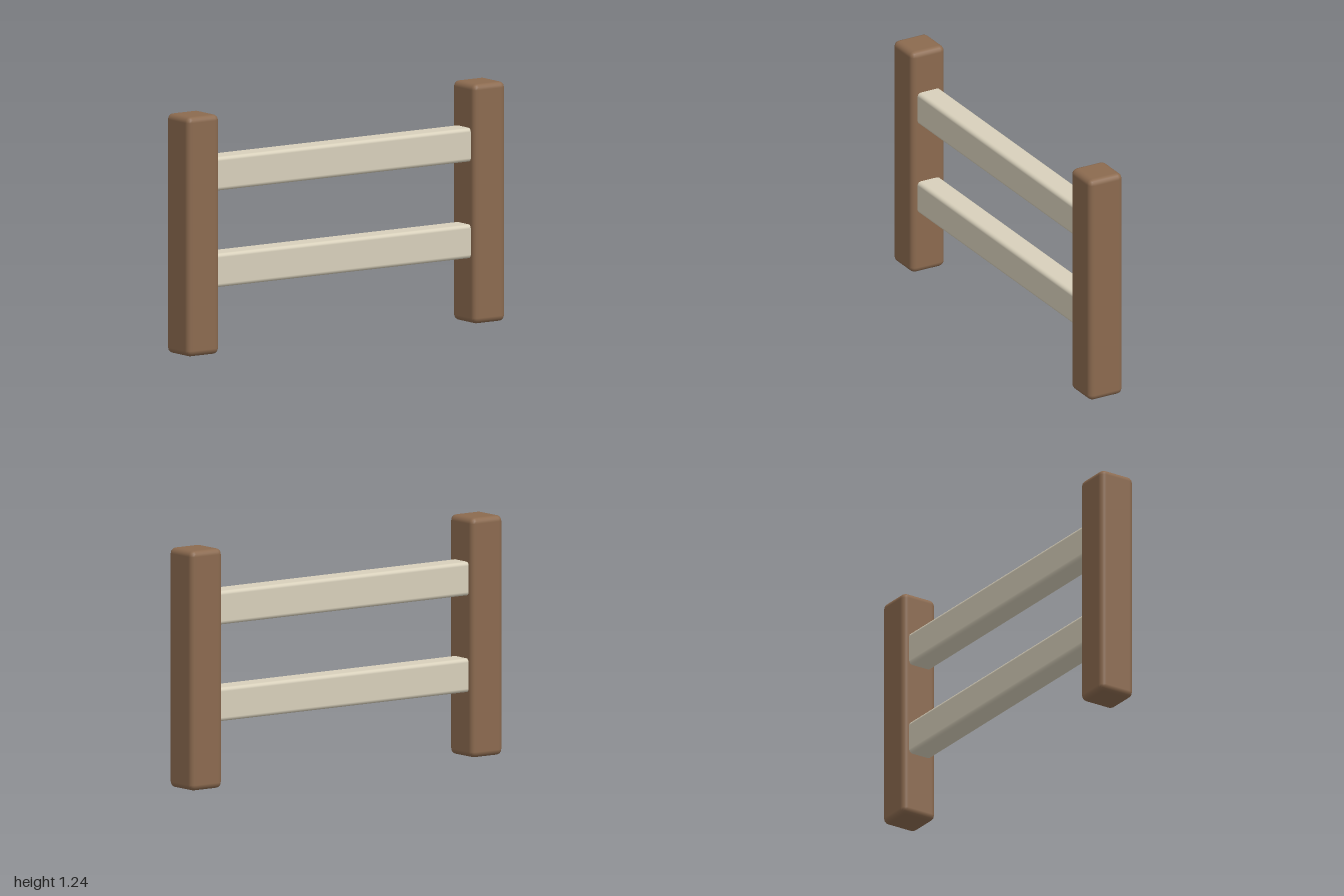
import * as THREE from 'three';
import { RoundedBoxGeometry } from 'three/addons/geometries/RoundedBoxGeometry.js';

const POST = { width: 0.2, height: 1.24, x: 0.9, bevel: 0.03 };
const RAIL = { length: 1.96, height: 0.175, depth: 0.135, bevel: 0.02 };

export function createModel() {
  const fence = new THREE.Group();
  fence.name = 'fence';

  const postWood = new THREE.MeshStandardMaterial({ color: 0x8b6a4f });
  const railWood = new THREE.MeshStandardMaterial({ color: 0xd8d0bb });

  const addBeam = (name, geometry, material, x, y) => {
    const beam = new THREE.Mesh(geometry, material);
    beam.name = name;
    beam.position.set(x, y, 0);
    fence.add(beam);
  };

  // Square posts with softened edges, one at each end
  const postGeometry = new RoundedBoxGeometry(POST.width, POST.height, POST.width, 2, POST.bevel);
  for (const [name, side] of [['leftPost', 1], ['rightPost', -1]]) {
    addBeam(name, postGeometry, postWood, side * POST.x, POST.height / 2);
  }

  // Rails, let into the posts and stopping just short of their outer faces
  const railGeometry = new RoundedBoxGeometry(RAIL.length, RAIL.height, RAIL.depth, 2, RAIL.bevel);
  for (const [name, y] of [['lowerRail', 0.425], ['upperRail', 0.925]]) {
    addBeam(name, railGeometry, railWood, 0, y);
  }

  return fence;
}
